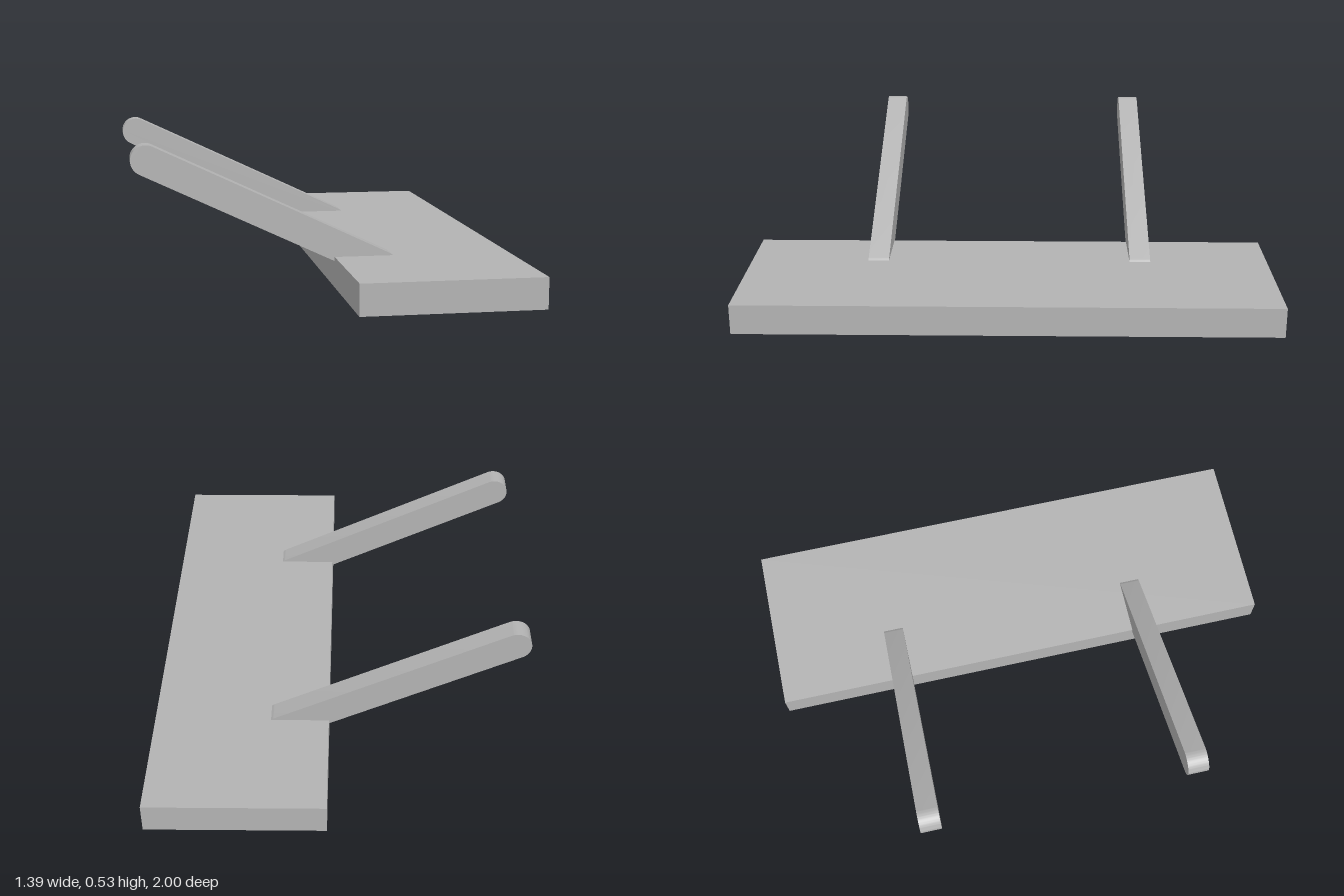
import * as THREE from 'three';
import { toCreasedNormals } from 'three/addons/utils/BufferGeometryUtils.js';

export function createModel() {
  const model = new THREE.Group();
  model.name = 'shelfWithPegs';
  const grey = new THREE.MeshStandardMaterial({ color: 0xb3b3b3 });
  grey.name = 'plain grey';

  // Flat slab lying on the ground
  const slab = new THREE.Mesh(new THREE.BoxGeometry(0.656, 0.113, 2), grey);
  slab.name = 'slab';
  slab.position.set(0.367, 0.0565, 0);
  model.add(slab);

  // Bar with rounded ends, drawn along +x from the free end
  const radius = 0.055, width = 0.08;
  const tip = new THREE.Vector2(-0.64, 0.48);
  const root = new THREE.Vector2(0.22, 0.073);
  const length = tip.distanceTo(root);
  const outline = new THREE.Shape();
  outline.moveTo(0, -radius);
  outline.lineTo(length, -radius);
  outline.absarc(length, 0, radius, -Math.PI / 2, Math.PI / 2, false);
  outline.lineTo(0, radius);
  outline.absarc(0, 0, radius, Math.PI / 2, Math.PI * 1.5, false);
  const bar = new THREE.ExtrudeGeometry(outline, { depth: width, bevelEnabled: false, curveSegments: 20 });
  bar.translate(0, 0, -width / 2);
  const armGeometry = toCreasedNormals(bar, 0.5);

  // Matching pair of sloping arms, sunk into the slab
  for (const [name, z] of [['frontArm', 0.508], ['backArm', -0.508]]) {
    const arm = new THREE.Mesh(armGeometry, grey);
    arm.name = name;
    arm.position.set(tip.x, tip.y, z);
    arm.rotation.z = Math.atan2(root.y - tip.y, root.x - tip.x);
    model.add(arm);
  }
  return model;
}
